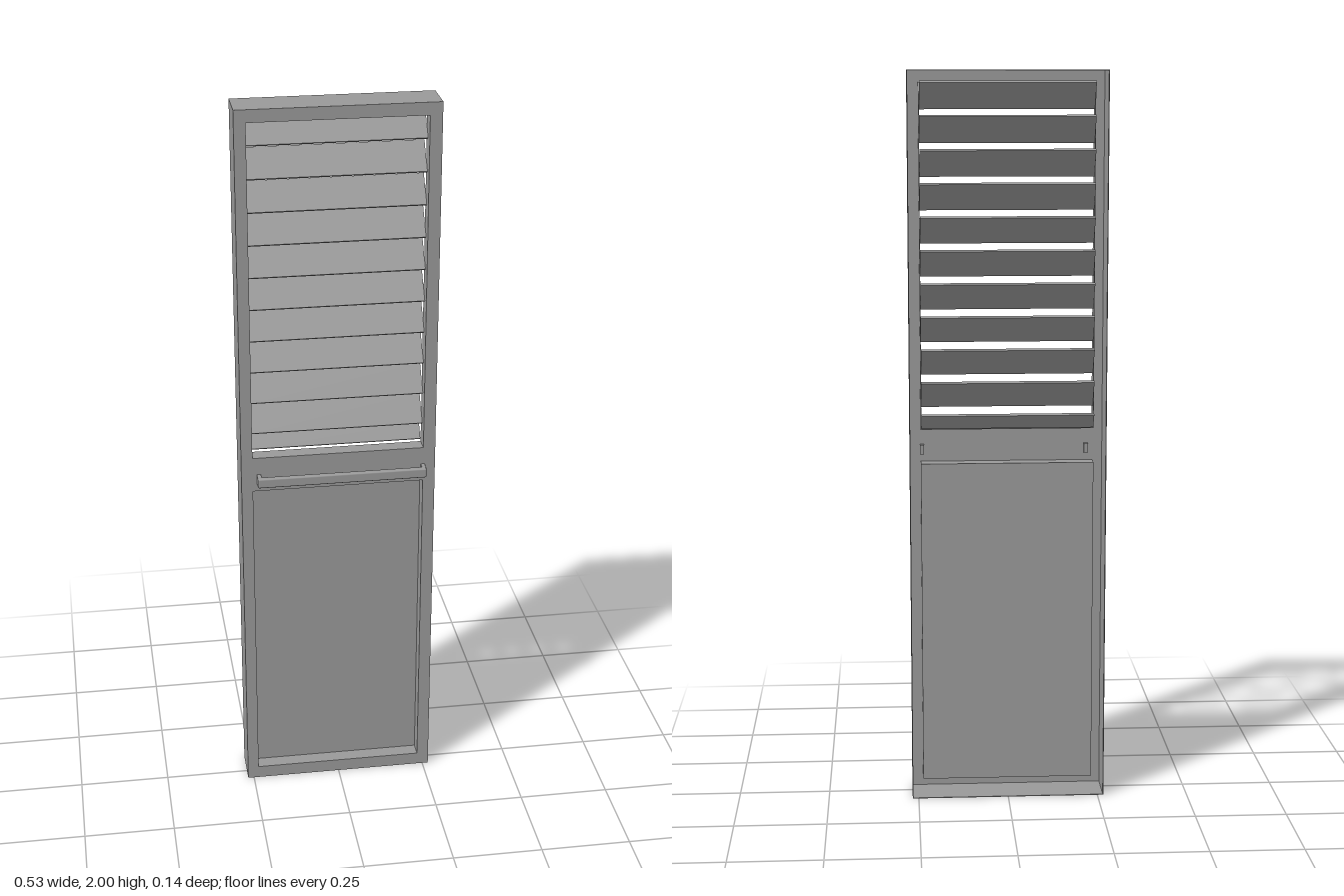
import * as THREE from 'three';
import { RoundedBoxGeometry } from 'three/addons/geometries/RoundedBoxGeometry.js';

export function createModel() {
  const model = new THREE.Group();
  model.name = 'louveredLockerDoor';
  const mat = new THREE.MeshStandardMaterial({ color: 0x999999, side: THREE.DoubleSide });

  const W = 0.267, FRONT = 0.037, BACK = -0.071, SHEET = 0.002;
  const L = -0.236, R = 0.234, RECESS = -0.005;
  const upper = { bottom: 1.035, top: 1.966 };
  const lower = { bottom: 0.036, top: 0.936 };

  function add(name, geometry, x, y, z, parent) {
    const mesh = new THREE.Mesh(geometry, mat);
    mesh.position.set(x, y, z);
    mesh.name = name;
    parent.add(mesh);
    return mesh;
  }

  // Box given by its extents on each axis
  function box(name, x0, x1, y0, y1, z0, z1, parent = model) {
    const geometry = new THREE.BoxGeometry(x1 - x0, y1 - y0, z1 - z0);
    add(name, geometry, (x0 + x1) / 2, (y0 + y1) / 2, (z0 + z1) / 2, parent);
  }

  function outline(path, x0, x1, y0, y1) {
    path.moveTo(x0, y0);
    path.lineTo(x1, y0);
    path.lineTo(x1, y1);
    path.lineTo(x0, y1);
    path.closePath();
    return path;
  }

  // Four thin sheets around a rectangle
  function sleeve(name, x0, x1, y0, y1, z0, z1) {
    const group = new THREE.Group();
    group.name = name;
    box(name + 'RightSide', x0, x0 + SHEET, y0, y1, z0, z1, group);
    box(name + 'LeftSide', x1 - SHEET, x1, y0, y1, z0, z1, group);
    box(name + 'Bottom', x0 + SHEET, x1 - SHEET, y0, y0 + SHEET, z0, z1, group);
    box(name + 'Top', x0 + SHEET, x1 - SHEET, y1 - SHEET, y1, z0, z1, group);
    model.add(group);
  }

  // Front sheet with the two openings
  const face = outline(new THREE.Shape(), -W, W, 0, 2);
  for (const o of [upper, lower]) {
    face.holes.push(outline(new THREE.Path(), L, R, o.bottom, o.top));
  }
  const plate = new THREE.ExtrudeGeometry(face, { depth: SHEET, bevelEnabled: false });
  add('frontFrame', plate, 0, 0, FRONT - SHEET, model);

  // Outer walls, open at the back
  sleeve('outerWall', -W, W, 0, 2, BACK, FRONT - SHEET);

  // Returns folded inward around both openings
  sleeve('upperReturn', L - SHEET, R + SHEET, upper.bottom - SHEET, upper.top + SHEET, RECESS, FRONT - SHEET);
  sleeve('lowerReturn', L - SHEET, R + SHEET, lower.bottom - SHEET, lower.top + SHEET, RECESS, FRONT - SHEET);

  // Recessed lower panel
  box('lowerPanel', L - SHEET, R + SHEET, lower.bottom - SHEET, lower.top + SHEET, RECESS - SHEET, RECESS);

  // Slanted louvers hung from their back edge; the last is cut short by the rail
  const louvers = new THREE.Group();
  louvers.name = 'louvers';
  const COUNT = 11;
  for (let i = 0; i < COUNT; i++) {
    const length = i === COUNT - 1 ? 0.047 : 0.086;
    const board = new THREE.BoxGeometry(R - L, length, 0.008).translate(0, -length / 2, 0);
    const louver = add('louver', board, (L + R) / 2, 1.969 - i * 0.0891, -0.038, louvers);
    louver.rotation.x = -0.61;
  }
  model.add(louvers);

  // Pull handle on the middle rail, posts passing through the sheet
  const handle = new THREE.Group();
  handle.name = 'handle';
  add('handleBar', new RoundedBoxGeometry(0.463, 0.027, 0.016, 2, 0.004), 0.0065, 0.973, 0.063, handle);
  for (const x of [-0.225, 0.227]) {
    box('handlePost', x, x + 0.011, 0.96, 0.986, 0.02, 0.063, handle);
  }
  model.add(handle);

  return model;
}
